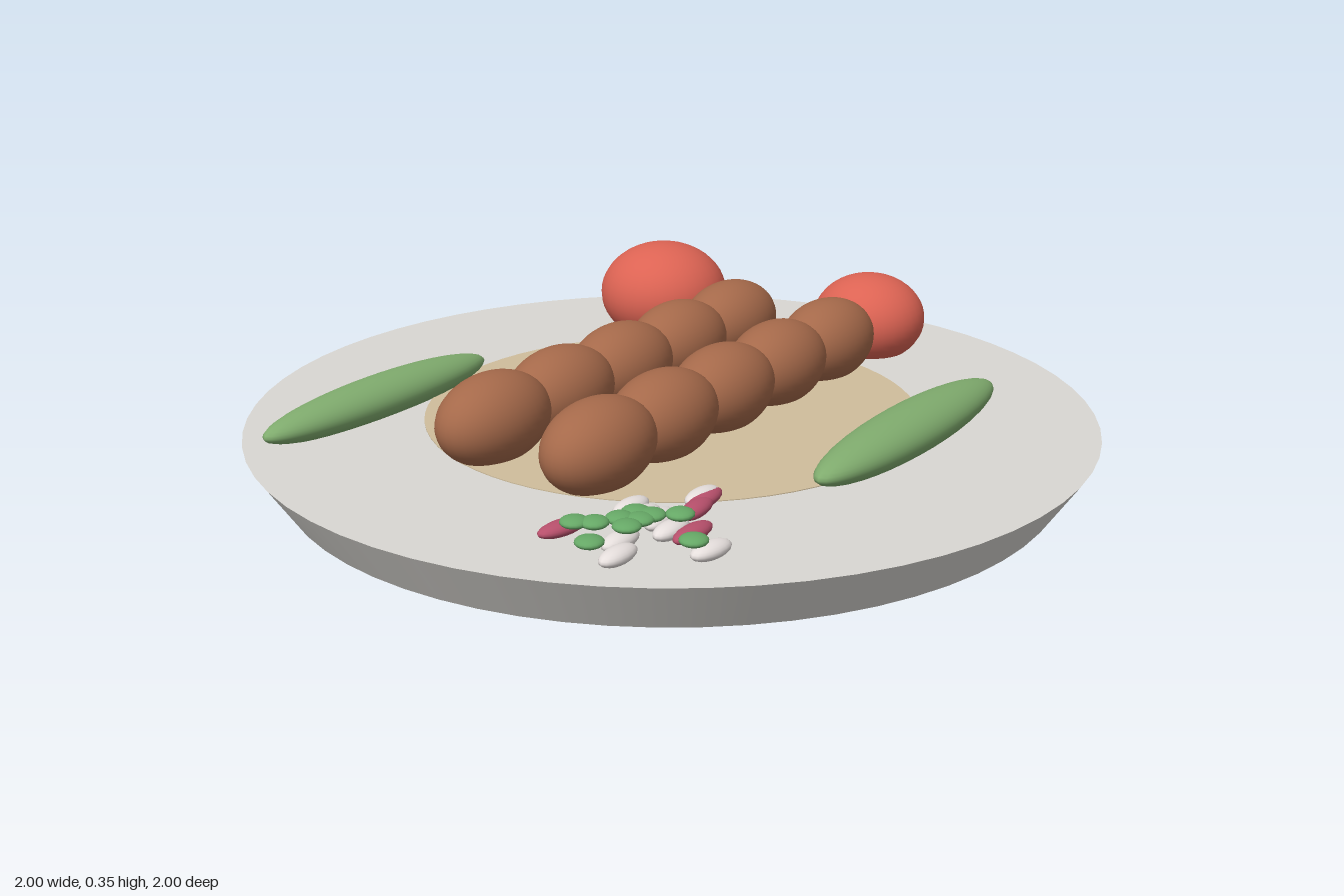
import * as THREE from 'three';

const mat = (color) => new THREE.MeshStandardMaterial({ color });
const ball = new THREE.SphereGeometry(1, 32, 24);
const smallBall = new THREE.SphereGeometry(1, 16, 12);

export function createModel() {
  const model = new THREE.Group();
  model.name = 'kebabPlatter';
  const meat = mat(0xa5694a), red = mat(0xdc6353), green = mat(0x80ac6e);
  const white = mat(0xe6dfdd), pink = mat(0xb8506c), herb = mat(0x66a866);

  const add = (name, geometry, material, [x, y, z], scale = [1, 1, 1], turn = 0, parent = model) => {
    const mesh = new THREE.Mesh(geometry, material);
    mesh.name = name;
    mesh.position.set(x, y, z);
    mesh.scale.set(...scale);
    mesh.rotation.y = turn;
    parent.add(mesh);
    return mesh;
  };

  // Plate with sloping rim, and the flat bread lying on it
  add('plate', new THREE.CylinderGeometry(1, 0.92, 0.12, 64), mat(0xd9d7d2), [0, 0.06, 0]);
  add('flatbread', new THREE.CylinderGeometry(0.585, 0.585, 0.01, 64), mat(0xcfbd9c), [0, 0.117, 0]);

  // Two rows of overlapping minced-meat lumps
  [-0.15, 0.145].forEach((z, row) => {
    const kebab = new THREE.Group();
    kebab.name = row ? 'frontKebab' : 'backKebab';
    for (let i = -2; i <= 2; i++) {
      add('meatLump', ball, meat, [i * 0.233, 0.203, z], [0.157, 0.104, 0.104], 0, kebab);
    }
    model.add(kebab);
  });

  // Tomatoes and peppers
  add('largeTomato', ball, red, [0.567, 0.212, -0.436], [0.171, 0.136, 0.171]);
  add('smallTomato', ball, red, [0.7, 0.204, 0.133], [0.145, 0.116, 0.145]);
  add('frontPepper', ball, green, [0.133, 0.152, 0.566], [0.396, 0.054, 0.077]);
  add('backPepper', ball, green, [-0.4, 0.15, -0.568], [0.364, 0.05, 0.071]);

  // Onion salad: [x, z, turn] for each piece
  const salad = new THREE.Group();
  salad.name = 'onionSalad';
  const scatter = (name, material, y, scale, spots) => spots.forEach(([x, z, turn = 0]) =>
    add(name, smallBall, material, [x, y, z], scale, turn, salad));
  scatter('whiteOnion', white, 0.137, [0.053, 0.018, 0.026], [
    [-0.573, 0.31], [-0.595, 0.355], [-0.78, 0.435], [-0.655, 0.565, -0.15],
    [-0.44, 0.395], [-0.62, 0.445], [-0.72, 0.395], [-0.59, 0.395, 0.2]]);
  scatter('redOnion', pink, 0.136, [0.06, 0.016, 0.025], [
    [-0.737, 0.262, -0.2], [-0.605, 0.487], [-0.5, 0.422, 0.15], [-0.445, 0.405, 0.1]]);
  scatter('herb', herb, 0.163, [0.03, 0.012, 0.03], [
    [-0.748, 0.303], [-0.727, 0.337], [-0.808, 0.388], [-0.68, 0.364], [-0.636, 0.37],
    [-0.705, 0.4], [-0.662, 0.4], [-0.631, 0.405], [-0.594, 0.449], [-0.684, 0.545]]);
  model.add(salad);

  return model;
}
